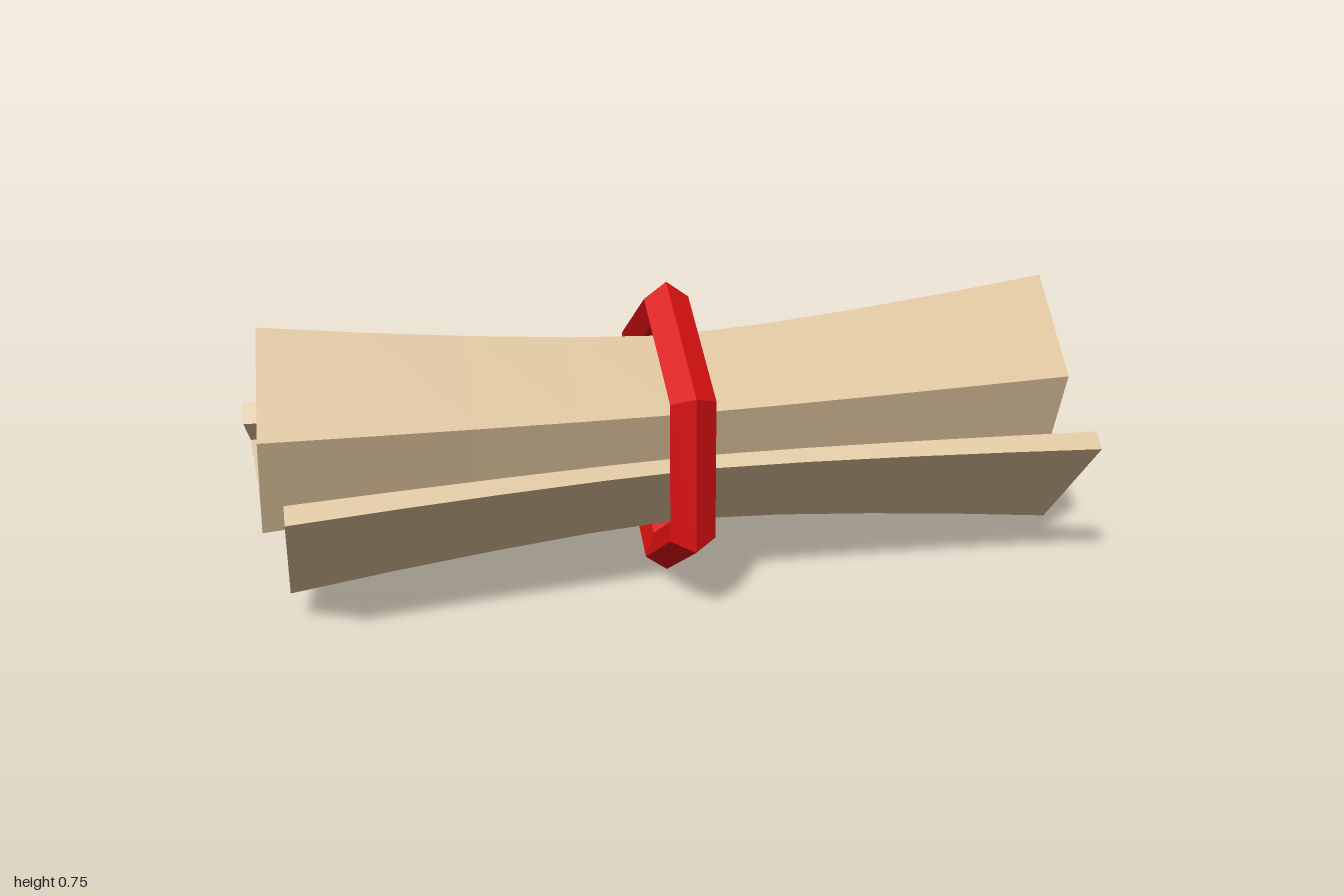
import * as THREE from 'three';

const parchment = new THREE.MeshStandardMaterial({ color: 0xd8bf98, flatShading: true });
parchment.name = 'parchment tan';
const red = new THREE.MeshStandardMaterial({ color: 0xd81010, flatShading: true });
red.name = 'ring red';

const MID_Y = 0.39;

// Spiral cross-section as [z, y], from the loose outer edge to the rolled core
const outer = [
  [0.299, 0.363], [0.05, 0.078], [-0.283, 0.204], [-0.301, 0.566], [-0.03, 0.711],
  [0.176, 0.515], [0.1, 0.27], [-0.109, 0.248], [-0.185, 0.414], [-0.095, 0.519],
];
const inner = [
  [0.267, 0.396], [0.035, 0.125], [-0.243, 0.233], [-0.258, 0.537], [-0.03, 0.66],
  [0.137, 0.497], [0.075, 0.298], [-0.088, 0.298], [-0.135, 0.407], [-0.066, 0.476],
];

// Places a section point at t (-1..1) along the scroll, pinched at the waist
function place([z, y], i, t) {
  const s = 0.73 + 0.27 * Math.pow(Math.abs(t), 1.4);
  const slip = 0.013 - 0.0105 * i; // each turn slides a little along the axis
  return [0.888 * t - 0.46 * z * s + slip, MID_Y + (y - MID_Y) * s, 0.377 * t + z * s];
}

function scrollGeometry() {
  const pos = [];
  const quad = (a, b, c, d) => pos.push(...a, ...b, ...c, ...a, ...c, ...d);
  const n = outer.length;
  const loop = [
    ...outer.map((p, i) => ({ p, i })),
    ...inner.map((p, i) => ({ p, i })).reverse(),
  ];
  const steps = 8;
  // Wall of the sheet, swept along the axis
  for (let k = 0; k < steps; k++) {
    const t0 = -1 + (2 * k) / steps, t1 = -1 + (2 * (k + 1)) / steps;
    loop.forEach((a, j) => {
      const b = loop[(j + 1) % loop.length];
      quad(place(a.p, a.i, t0), place(b.p, b.i, t0), place(b.p, b.i, t1), place(a.p, a.i, t1));
    });
  }
  // Paper edges at both ends
  for (let i = 0; i < n - 1; i++) {
    for (const t of [1, -1]) {
      const c = [
        place(outer[i], i, t), place(outer[i + 1], i + 1, t),
        place(inner[i + 1], i + 1, t), place(inner[i], i, t),
      ];
      if (t < 0) c.reverse();
      quad(...c);
    }
  }
  const g = new THREE.BufferGeometry();
  g.setAttribute('position', new THREE.Float32BufferAttribute(pos, 3));
  g.computeVertexNormals();
  return g;
}

export function createModel() {
  const group = new THREE.Group();
  group.name = 'rolledScroll';

  const scroll = new THREE.Mesh(scrollGeometry(), parchment);
  scroll.name = 'scrollSheet';
  group.add(scroll);

  // Six-sided ring with a five-sided section, corner pointing up
  const ringGeo = new THREE.TorusGeometry(0.32, 0.057, 5, 6);
  ringGeo.rotateZ(Math.PI / 6);
  ringGeo.rotateY(THREE.MathUtils.degToRad(65.5));
  const ring = new THREE.Mesh(ringGeo, red);
  ring.name = 'bindingRing';
  ring.position.set(-0.02, 0.378, -0.035);
  group.add(ring);

  return group;
}
